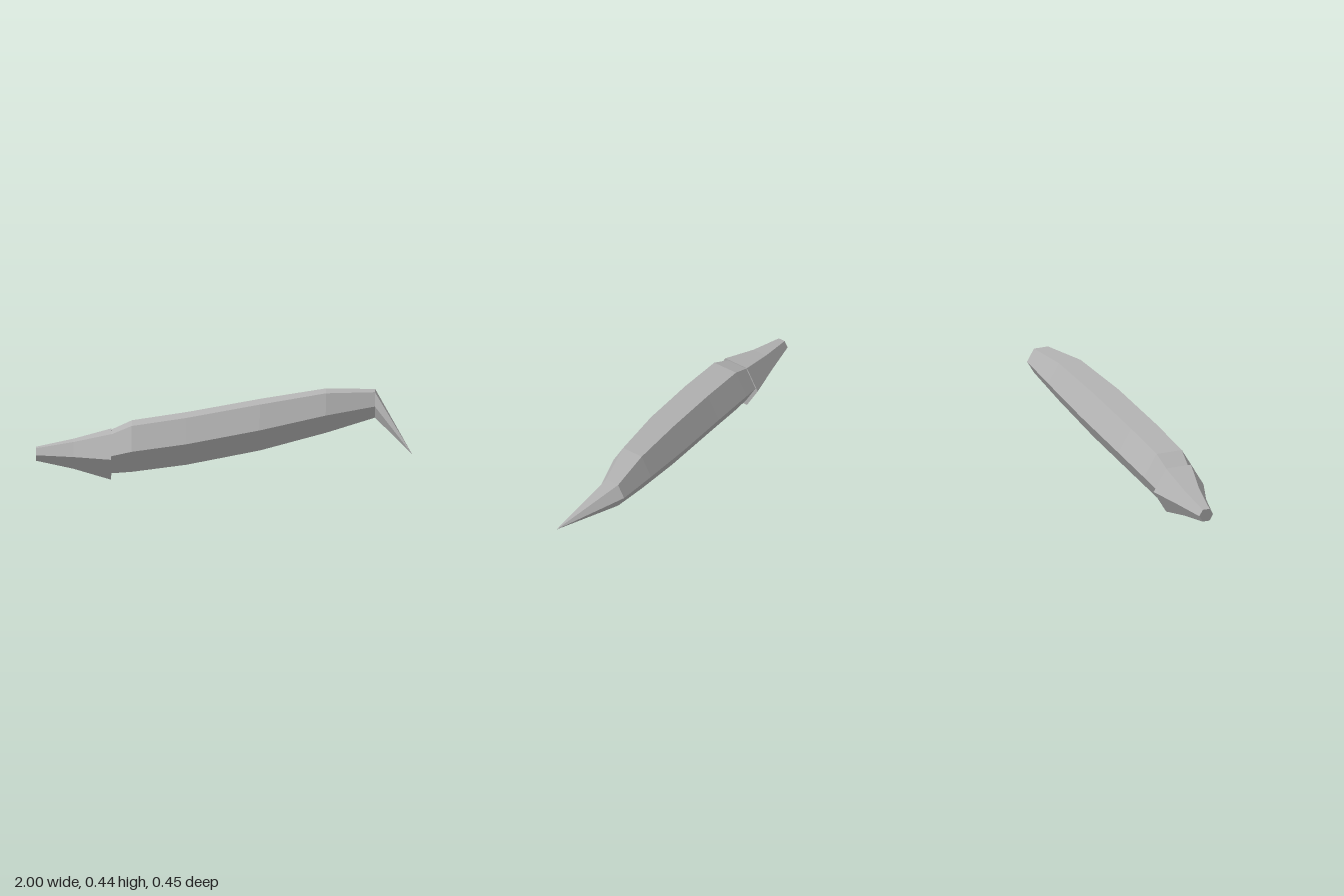
import * as THREE from 'three';

const SIDES = 6;

// Corner j of a hexagonal section [x, centreY, centreZ, radius]
function corner([x, y, z, r], j) {
  const a = (j / SIDES) * Math.PI * 2;
  return [x, y + r * Math.sin(a), z + r * Math.cos(a)];
}

// Faceted skin through hexagonal sections running towards +x, closed at both ends
function loftHex(sections) {
  const pos = [];
  const tri = (...pts) => pts.forEach((p) => pos.push(...p));
  const first = sections[0];
  const last = sections[sections.length - 1];
  for (let j = 0; j < SIDES; j++) {
    for (let i = 0; i < sections.length - 1; i++) {
      const a = corner(sections[i], j);
      const b = corner(sections[i + 1], j);
      const c = corner(sections[i + 1], j + 1);
      const d = corner(sections[i], j + 1);
      tri(a, b, d);
      if (sections[i + 1][3] > 0) tri(b, c, d);
    }
    tri(first.slice(0, 3), corner(first, j), corner(first, j + 1));
    if (last[3] > 0) tri(last.slice(0, 3), corner(last, j + 1), corner(last, j));
  }
  const geometry = new THREE.BufferGeometry();
  geometry.setAttribute('position', new THREE.Float32BufferAttribute(pos, 3));
  geometry.computeVertexNormals();
  return geometry;
}

export function createModel() {
  const group = new THREE.Group();
  const grey = new THREE.MeshStandardMaterial({ color: 0xb3b3b3 });
  grey.name = 'plain grey';

  const add = (name, sections) => {
    const mesh = new THREE.Mesh(loftHex(sections), grey);
    mesh.name = name;
    group.add(mesh);
  };

  // Flared base joint
  add('baseJoint', [
    [-1, 0.127, 0.078, 0.039],
    [-0.8, 0.127, 0.075, 0.084],
    [-0.6, 0.127, 0.081, 0.143],
  ]);

  // Long curved segment
  const end = [0.8, 0.358, -0.143, 0.08];
  add('mainSegment', [
    [-0.6, 0.14, 0.075, 0.122],
    [-0.49, 0.169, 0.072, 0.144],
    [-0.2, 0.205, 0.043, 0.147],
    [0.19, 0.268, -0.017, 0.144],
    [0.54, 0.331, -0.083, 0.124],
    end,
  ]);

  // Pointed claw bending down and forward
  add('claw', [end, [1, 0.13, 0.077, 0]]);

  return group;
}
